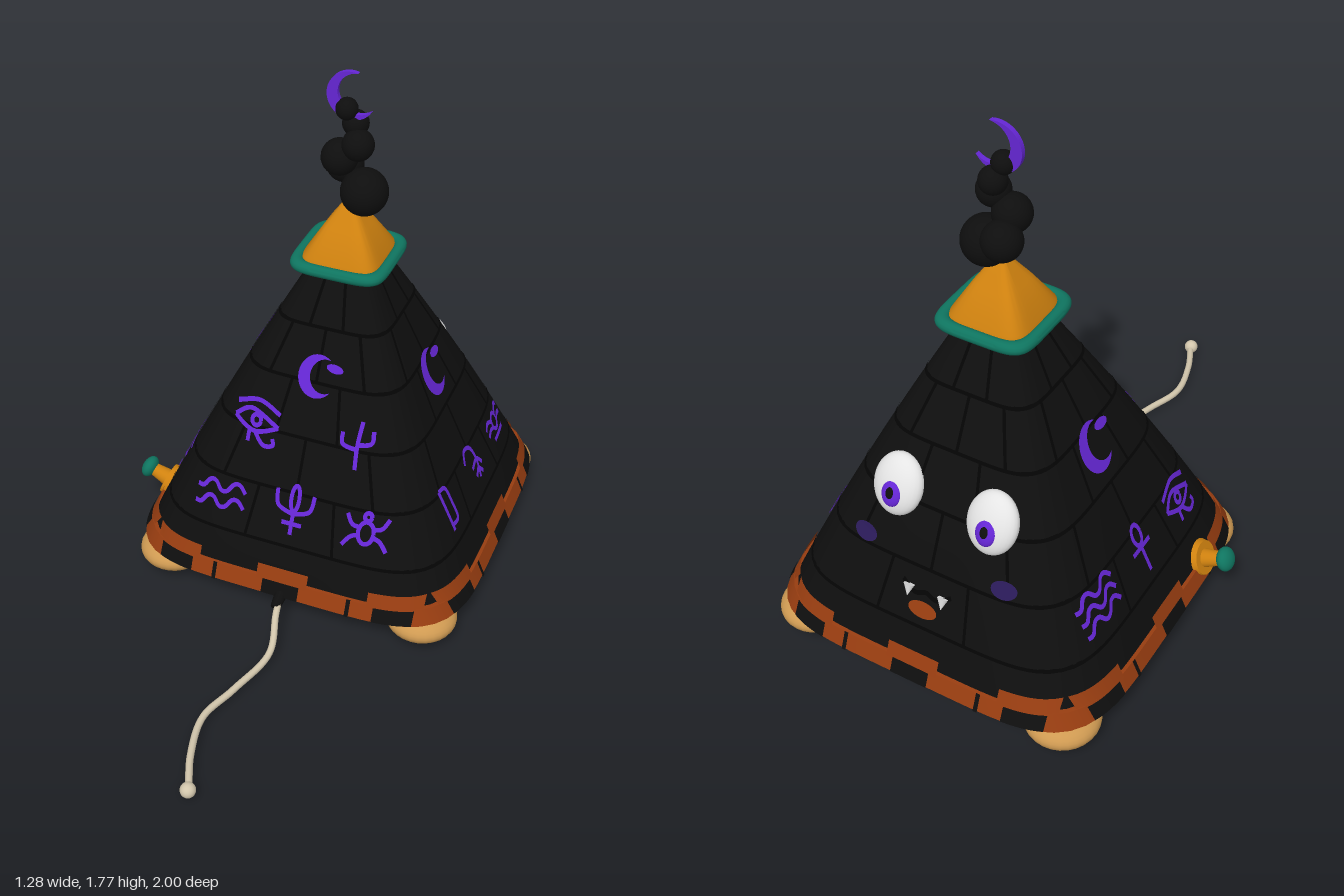
import * as THREE from 'three';
import { toCreasedNormals } from 'three/addons/utils/BufferGeometryUtils.js';

const mat = (name, color, side = THREE.FrontSide) => {
  const m = new THREE.MeshStandardMaterial({ color, side });
  m.name = name;
  return m;
};

export function createModel() {
  const black = mat('black stone', 0x0e0e0e), groove = mat('groove', 0x040404);
  const purple = mat('purple', 0x6526d4, THREE.DoubleSide), rust = mat('rust', 0x963c10, THREE.DoubleSide);
  const gold = mat('gold', 0xd0820f), teal = mat('teal', 0x0f7560), tan = mat('tan', 0xcf9a52);
  const bone = mat('bone', 0xd2c6ac), white = mat('white', 0xe4e4e4), cheek = mat('dark violet', 0x2a1a58);

  const model = new THREE.Group();
  const creature = new THREE.Group();
  creature.name = 'creature';
  creature.position.set(0.04, 0, -0.4);
  model.add(creature);

  const add = (parent, name, geo, material, pos = [0, 0, 0], scale = [1, 1, 1]) => {
    const m = new THREE.Mesh(geo, material);
    m.name = name;
    m.position.set(...pos);
    m.scale.set(...scale);
    parent.add(m);
    return m;
  };
  const ball = new THREE.SphereGeometry(1, 28, 18);

  // Half width of the pyramid at a height, and distance of a side's surface from the axis
  const POWER = 5;
  const half = y => {
    const t = (y - 0.12) / 1.0;
    return 0.59 - 0.49 * t + 0.06 * t * (1 - t);
  };
  const depth = (s, y) => {
    const a = half(y);
    return a * Math.pow(Math.max(0, 1 - Math.pow(Math.abs(s / a), POWER)), 1 / POWER);
  };

  // Lathe squared off into a rounded square; profile runs bottom to top as [half width, y]
  const squareLathe = profile => {
    const geo = new THREE.LatheGeometry(profile.map(p => new THREE.Vector2(p[0], p[1])), 96);
    const p = geo.attributes.position;
    for (let i = 0; i < p.count; i++) {
      const x = p.getX(i), z = p.getZ(i), r = Math.hypot(x, z);
      if (r < 1e-6) continue; // points on the axis stay put
      const k = Math.pow(Math.abs(x / r) ** POWER + Math.abs(z / r) ** POWER, -1 / POWER);
      p.setX(i, x * k);
      p.setZ(i, z * k);
    }
    geo.computeVertexNormals();
    return toCreasedNormals(geo, 0.6);
  };

  // Pyramid body with a shallow domed underside
  const bodyProfile = [[0, 0.07], [0.2, 0.073], [0.4, 0.085], [0.52, 0.102]];
  for (let i = 0; i <= 24; i++) {
    const y = 0.12 + i / 24;
    bodyProfile.push([half(y), y]);
  }
  add(creature, 'body', squareLathe(bodyProfile), black);
  add(creature, 'hemBand', squareLathe([[0.58, 0.12], [0.6, 0.122], [half(0.172) + 0.01, 0.172], [half(0.175) - 0.01, 0.175]]), rust);

  // Collar and golden cap
  const collar = [];
  for (let i = 0; i <= 14; i++) {
    const a = -Math.PI / 2 + (i / 14) * Math.PI * 2;
    collar.push([0.145 + 0.02 * Math.cos(a), 1.127 + 0.02 * Math.sin(a)]);
  }
  add(creature, 'collar', squareLathe(collar), teal);
  add(creature, 'cap', squareLathe([[0.132, 1.13], [0.128, 1.15], [0.07, 1.245], [0.02, 1.318], [0, 1.322]]), gold);

  // Four sides in local coordinates: s to the right, y up, depth outward
  const sides = ['front', 'left', 'back', 'right'].map((n, k) => {
    const g = new THREE.Group();
    g.name = n + 'Side';
    g.rotation.y = k * Math.PI / 2;
    creature.add(g);
    return g;
  });

  // Ribbon of a given width laid on a side
  const stroke = (side, name, pts, material, { w = 0.014, smooth = false, off = 0.005 } = {}) => {
    const v = pts.map(p => new THREE.Vector2(p[0], p[1]));
    let line = [];
    if (smooth) line = new THREE.SplineCurve(v).getPoints(pts.length * 5);
    else {
      v.slice(1).forEach((b, i) => { for (let j = 0; j < 8; j++) line.push(v[i].clone().lerp(b, j / 8)); });
      line.push(v[v.length - 1]);
    }
    const pos = [], idx = [];
    line.forEach((p, i) => {
      const d = line[Math.min(i + 1, line.length - 1)].clone().sub(line[Math.max(i - 1, 0)]).normalize();
      for (const q of [-w / 2, w / 2]) {
        const s = p.x - d.y * q, y = p.y + d.x * q;
        pos.push(s, y, depth(s, y) + off);
      }
      if (i) idx.push(2 * i - 2, 2 * i, 2 * i - 1, 2 * i, 2 * i + 1, 2 * i - 1);
    });
    const geo = new THREE.BufferGeometry();
    geo.setAttribute('position', new THREE.Float32BufferAttribute(pos, 3));
    geo.setIndex(idx);
    geo.computeVertexNormals();
    add(side, name, geo, material);
  };
  // Flat shape laid on a side
  const patch = (side, name, shape, material, cx, cy, off = 0.006) => {
    const geo = new THREE.ShapeGeometry(shape, 20), p = geo.attributes.position;
    for (let i = 0; i < p.count; i++) {
      const s = p.getX(i) + cx, y = p.getY(i) + cy;
      p.setXYZ(i, s, y, depth(s, y) + off);
    }
    geo.computeVertexNormals();
    add(side, name, geo, material);
  };
  const oval = (rx, ry, rot = 0) => {
    const s = new THREE.Shape();
    s.absellipse(0, 0, rx, ry, 0, Math.PI * 2, false, rot);
    return s;
  };
  const crescent = (r, open, h, shift) => {
    const e = r * shift, dx = r * Math.cos(h) - e, dy = r * Math.sin(h), g = Math.atan2(dy, dx);
    const s = new THREE.Shape();
    s.absarc(0, 0, r, open + h, open + Math.PI * 2 - h, false);
    s.absarc(e * Math.cos(open), e * Math.sin(open), Math.hypot(dx, dy), open - g, open + g, true);
    return s;
  };

  // Brick joints and the stepped hem on every side
  const rows = [0.28, 0.45, 0.62, 0.79, 0.95, 1.1];
  sides.forEach(side => {
    rows.forEach((y, i) => {
      const a = half(y) * 0.94;
      stroke(side, 'brickRow', [[-a, y], [-a / 2, y], [0, y], [a / 2, y], [a, y]], groove, { w: 0.01, off: 0.003 });
      if (i === rows.length - 1) return;
      for (const f of i % 2 ? [-0.6, 0, 0.6] : [-0.3, 0.3])
        stroke(side, 'brickJoint', [[f * half(y), y], [f * half(rows[i + 1]), rows[i + 1]]], groove, { w: 0.01, off: 0.003 });
    });
    for (const s of [-0.39, 0, 0.39]) {
      stroke(side, 'hemStep', [[s - 0.09, 0.187], [s + 0.09, 0.187]], rust, { w: 0.05, off: 0.012 });
      stroke(side, 'hemNotch', [[s - 0.065, 0.147], [s + 0.065, 0.147]], black, { w: 0.045, off: 0.016 });
    }
    for (const s of [-0.24, 0.24])
      stroke(side, 'hemGap', [[s, 0.122], [s, 0.178]], black, { w: 0.014, off: 0.016 });
  });

  // Painted signs: each is a list of smooth strokes around its own centre
  const ring = (x, y, rx, ry) => Array.from({ length: 11 }, (_, i) =>
    [x + rx * Math.cos(i * Math.PI / 5), y + ry * Math.sin(i * Math.PI / 5)]);
  const wave = y => Array.from({ length: 9 }, (_, i) => [-0.09 + i * 0.0225, y + (i % 4 < 2 ? -0.012 : 0.012) + i * 0.002]);
  const mirror = list => list.concat(list.map(l => l.map(([x, y]) => [-x, y])));
  const signs = {
    eye: [[[-0.08, 0.04], [0, 0.065], [0.08, 0.035]], [[-0.08, 0], [-0.02, 0.035], [0.08, -0.005]],
      [[-0.08, 0], [0, -0.03], [0.08, -0.005]], ring(0, 0.004, 0.016, 0.016),
      [[-0.02, -0.03], [-0.02, -0.065]], [[0, -0.03], [0.035, -0.065], [0.07, -0.06], [0.065, -0.04]]],
    fork: [[[0.01, 0.075], [0.005, 0], [0.01, -0.07]], [[-0.05, 0.035], [-0.045, 0], [0, -0.01]],
      [[0.05, 0.05], [0.05, 0.015], [0.01, 0.005]]],
    waves: [wave(0.022), wave(-0.028)],
    tripleWaves: [wave(0.04), wave(0), wave(-0.04)],
    trident: [ring(0, 0.035, 0.014, 0.04), [[0, 0], [0, -0.08]], [[-0.035, -0.045], [0.035, -0.045]],
      ...mirror([[[0.065, 0.055], [0.055, 0.005], [0, -0.015]]])],
    beetle: [ring(0, -0.005, 0.026, 0.034), ring(0, 0.045, 0.012, 0.012),
      ...mirror([[[0.02, 0.01], [0.05, 0.015], [0.07, 0.045]], [[0.025, -0.015], [0.05, -0.025], [0.075, -0.055]]])],
    gate: [[[-0.022, 0.07], [-0.024, -0.07]], [[-0.022, 0.07], [0.018, 0.06], [0.024, 0], [0.02, -0.05], [-0.024, -0.05]]],
    hook: [[[-0.06, 0.03], [-0.03, 0.065], [0.015, 0.05], [0.03, 0], [0.015, -0.06]], [[-0.02, -0.01], [0.03, 0], [0.06, -0.03]],
      [[-0.01, -0.045], [0.02, -0.03], [0.045, -0.055]]],
    wings: [ring(0, 0, 0.026, 0.026), [[-0.05, -0.045], [0.05, -0.045]],
      ...mirror([[[0.025, 0.012], [0.06, 0.025], [0.09, 0.01]], [[0.025, -0.01], [0.055, -0.005], [0.085, -0.015]]])],
    loopCross: [ring(0, 0.045, 0.022, 0.032), [[0, 0.012], [0, -0.075]], [[-0.05, 0.005], [0.05, 0.005]]],
  };
  const layout = [
    [0, 'eye', -0.18, 0.635], [0, 'fork', 0.17, 0.635], [0, 'waves', -0.265, 0.38], [0, 'trident', 0, 0.4], [0, 'beetle', 0.255, 0.39],
    [1, 'gate', -0.25, 0.39], [1, 'hook', 0, 0.39], [1, 'wings', 0.26, 0.39],
    [3, 'tripleWaves', -0.26, 0.38], [3, 'loopCross', 0, 0.39], [3, 'eye', 0.25, 0.39],
  ];
  layout.forEach(([k, sign, x, y]) => signs[sign].forEach(l =>
    stroke(sides[k], sign + 'Sign', l.map(p => [p[0] + x, p[1] + y]), purple, { smooth: true })));
  for (const [k, y, r] of [[0, 0.81, 0.065], [1, 0.735, 0.074], [3, 0.735, 0.074]]) {
    patch(sides[k], 'moonSign', crescent(r, 0.15, 0.8, 0.4), purple, 0, y);
    patch(sides[k], 'leafSign', oval(r * 0.45, r * 0.2, -0.1), purple, r * 0.85, y + r * 0.5);
  }

  // Face on the back side
  const face = sides[2];
  for (const m of [-1, 1]) {
    const eye = new THREE.Group();
    eye.name = 'eye';
    eye.position.set(m * 0.165, 0.65, depth(0.165, 0.65) + 0.004);
    eye.rotation.x = -0.456;
    face.add(eye);
    add(eye, 'eyeball', ball, white, [0, 0, 0], [0.085, 0.1, 0.042]);
    add(eye, 'iris', ball, purple, [0, -0.022, 0.03], [0.036, 0.046, 0.018]);
    add(eye, 'pupil', ball, black, [0, -0.022, 0.041], [0.016, 0.022, 0.01]);
    patch(face, 'cheek', oval(0.042, 0.026), cheek, m * 0.245, 0.48);
    const fang = add(face, 'fang', new THREE.ConeGeometry(0.018, 0.04, 12), white, [m * 0.06, 0.375, depth(0.06, 0.375) + 0.008]);
    fang.rotation.x = Math.PI - 0.456;
  }
  stroke(face, 'mouth', [[-0.085, 0.4], [-0.04, 0.375], [0, 0.385], [0.04, 0.375], [0.085, 0.4]], groove, { smooth: true });
  patch(face, 'tongue', oval(0.05, 0.024), rust, 0, 0.335, 0.008);

  // Feet
  for (const x of [-0.455, 0.455]) for (const z of [-0.455, 0.455])
    add(creature, 'foot', ball, tan, [x, 0.077, z], [0.12, 0.06, 0.12]);

  // Smoke puffs and the moon on top
  [[0.087, 1.362, -0.4, 0.078], [0, 1.42, -0.455, 0.062], [0.005, 1.475, -0.39, 0.06], [0.067, 1.53, -0.385, 0.052],
    [0.045, 1.585, -0.42, 0.043], [0.022, 1.638, -0.4, 0.036]]
    .forEach(([x, y, z, r]) => add(model, 'smokePuff', ball, black, [x, y, z], [r, r, r]));
  const moon = new THREE.ExtrudeGeometry(crescent(0.08, 0.38, 0.92, 0.32), { depth: 0.016, bevelEnabled: false, curveSegments: 24 });
  add(model, 'moon', moon, purple, [0.037, 1.686, -0.408]);

  // Side knob, pointing out along the slope
  const knob = new THREE.Group();
  knob.name = 'knob';
  knob.position.set(-0.525, 0.175, -0.155);
  knob.rotation.z = Math.PI / 2 - 0.4;
  model.add(knob);
  add(knob, 'knobFlange', new THREE.CylinderGeometry(0.055, 0.066, 0.035, 28), gold);
  add(knob, 'knobStem', new THREE.CylinderGeometry(0.022, 0.032, 0.075, 20), gold, [0, 0.045, 0]);
  add(knob, 'knobTip', ball, teal, [0, 0.093, 0], [0.04, 0.026, 0.04]);

  // Tail
  const tail = new THREE.CatmullRomCurve3([[0.04, 0.125, 0.18], [0.055, 0.1, 0.26], [0.083, 0.045, 0.38], [0.035, 0.032, 0.56],
    [-0.008, 0.03, 0.7], [0.02, 0.028, 0.85], [0.07, 0.025, 0.97]].map(p => new THREE.Vector3(...p)));
  add(model, 'tail', new THREE.TubeGeometry(tail, 60, 0.0115, 10), bone);
  add(model, 'tailTip', ball, bone, [0.07, 0.025, 0.975], [0.025, 0.025, 0.025]);
  const root = add(model, 'tailRoot', new THREE.CylinderGeometry(0.016, 0.024, 0.07, 14), black, [0.043, 0.118, 0.205]);
  root.rotation.x = Math.PI / 2 + 0.35;

  return model;
}
